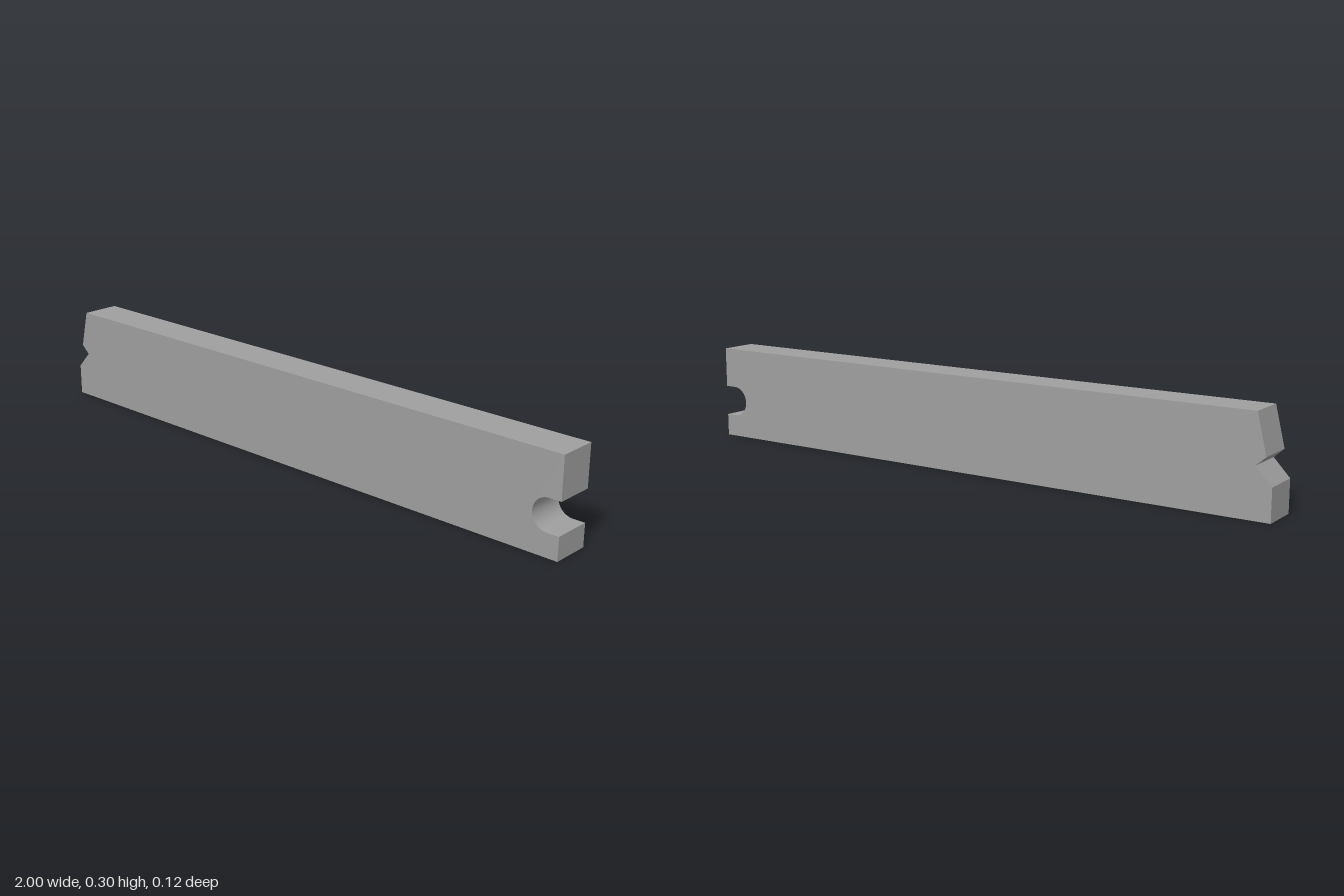
import * as THREE from 'three';
import { toCreasedNormals } from 'three/addons/utils/BufferGeometryUtils.js';

const THICKNESS = 0.124;
const SLOT = { x: 0.962, y: 0.1215, r: 0.0495 };
const PRECISION = 100;

// Works at a larger scale, since toCreasedNormals merges points closer than 0.01
function smoothCurves(geometry, creaseAngle) {
  geometry.scale(PRECISION, PRECISION, PRECISION);
  const creased = toCreasedNormals(geometry, creaseAngle);
  return creased.scale(1 / PRECISION, 1 / PRECISION, 1 / PRECISION);
}

export function createModel() {
  const group = new THREE.Group();
  group.name = 'notchedBar';

  // Side profile: plain bar with a round-ended slot at +x and a V notch at -x
  const profile = new THREE.Shape();
  profile.moveTo(-1, 0);
  profile.lineTo(1, 0);
  profile.lineTo(1, SLOT.y - SLOT.r);
  profile.lineTo(SLOT.x, SLOT.y - SLOT.r);
  profile.absarc(SLOT.x, SLOT.y, SLOT.r, -Math.PI / 2, Math.PI / 2, true);
  profile.lineTo(1, SLOT.y + SLOT.r);
  profile.lineTo(1, 0.302);
  profile.lineTo(-0.95, 0.302); // slanted end above the notch
  profile.lineTo(-0.98, 0.18);
  profile.lineTo(-0.95, 0.153); // bottom of the V
  profile.lineTo(-1, 0.1);
  profile.closePath();

  const extruded = new THREE.ExtrudeGeometry(profile, {
    depth: THICKNESS, bevelEnabled: false, curveSegments: 32,
  });
  extruded.translate(0, 0, -THICKNESS / 2);

  // Smooth slot wall, sharp edges everywhere else
  const bar = new THREE.Mesh(
    smoothCurves(extruded, 0.4),
    new THREE.MeshStandardMaterial({ color: 0x9e9e9e }),
  );
  bar.name = 'bar';
  group.add(bar);
  return group;
}
